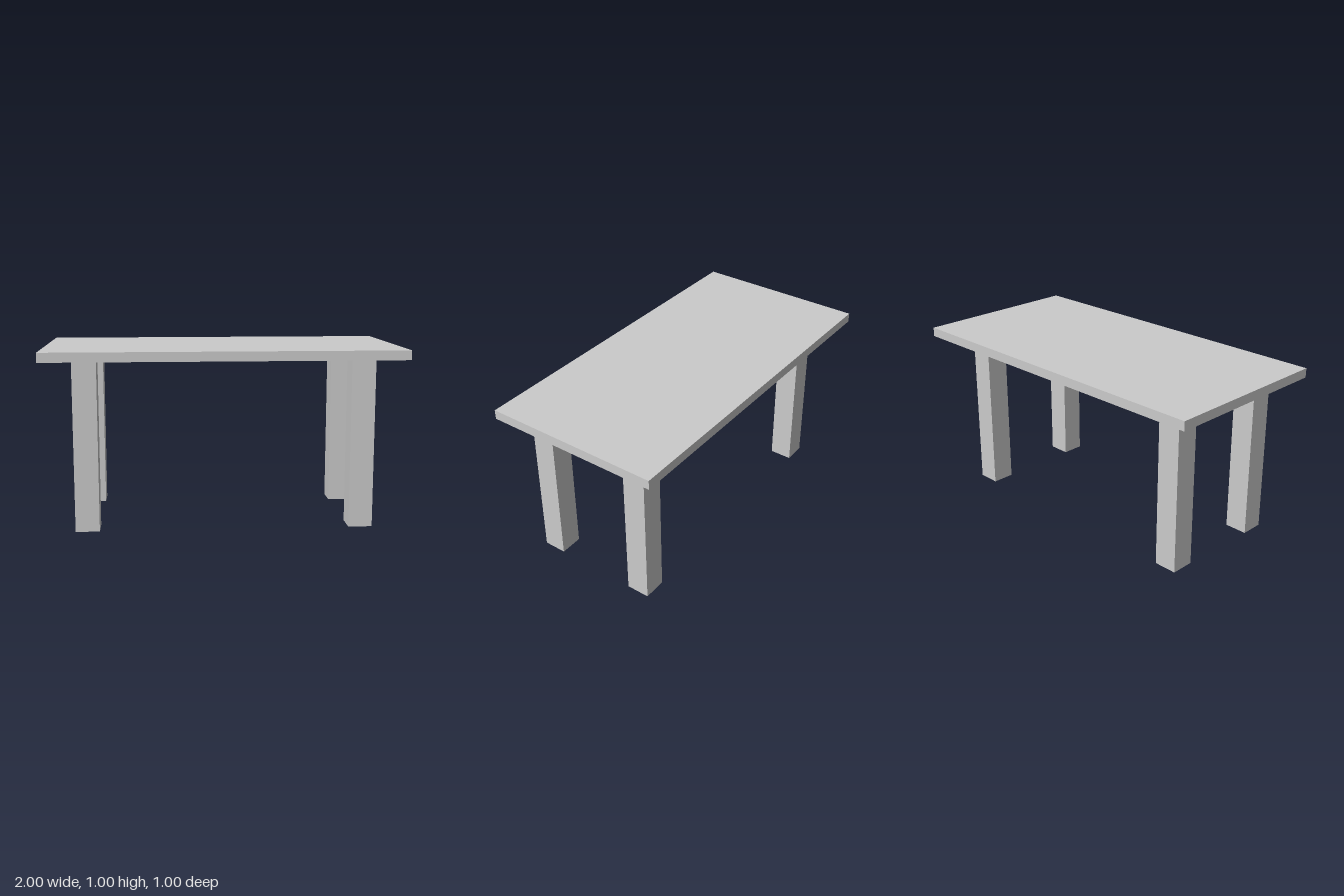
import * as THREE from 'three';

const material = new THREE.MeshStandardMaterial({ color: 0xcccccc, flatShading: true });

// Box given by its centre in plan and its bottom and top heights
function block(name, width, depth, bottom, top, x, z) {
  const mesh = new THREE.Mesh(new THREE.BoxGeometry(width, top - bottom, depth), material);
  mesh.name = name;
  mesh.position.set(x, (bottom + top) / 2, z);
  return mesh;
}

export function createModel() {
  const table = new THREE.Group();
  table.name = 'table';
  const underside = 0.947;
  const legSize = 0.133;

  // Thin rectangular top
  table.add(block('tabletop', 2, 1, underside, 1, 0, 0));

  // Square legs: the back pair sits further in, and the back right one is slightly short
  const legs = [
    ['frontLeftLeg', 0.762, 0.349, 0],
    ['frontRightLeg', -0.762, 0.349, 0],
    ['backLeftLeg', 0.762, -0.263, 0],
    ['backRightLeg', -0.76, -0.265, 0.013],
  ];
  for (const [name, x, z, bottom] of legs) {
    table.add(block(name, legSize, legSize, bottom, underside, x, z));
  }
  return table;
}
